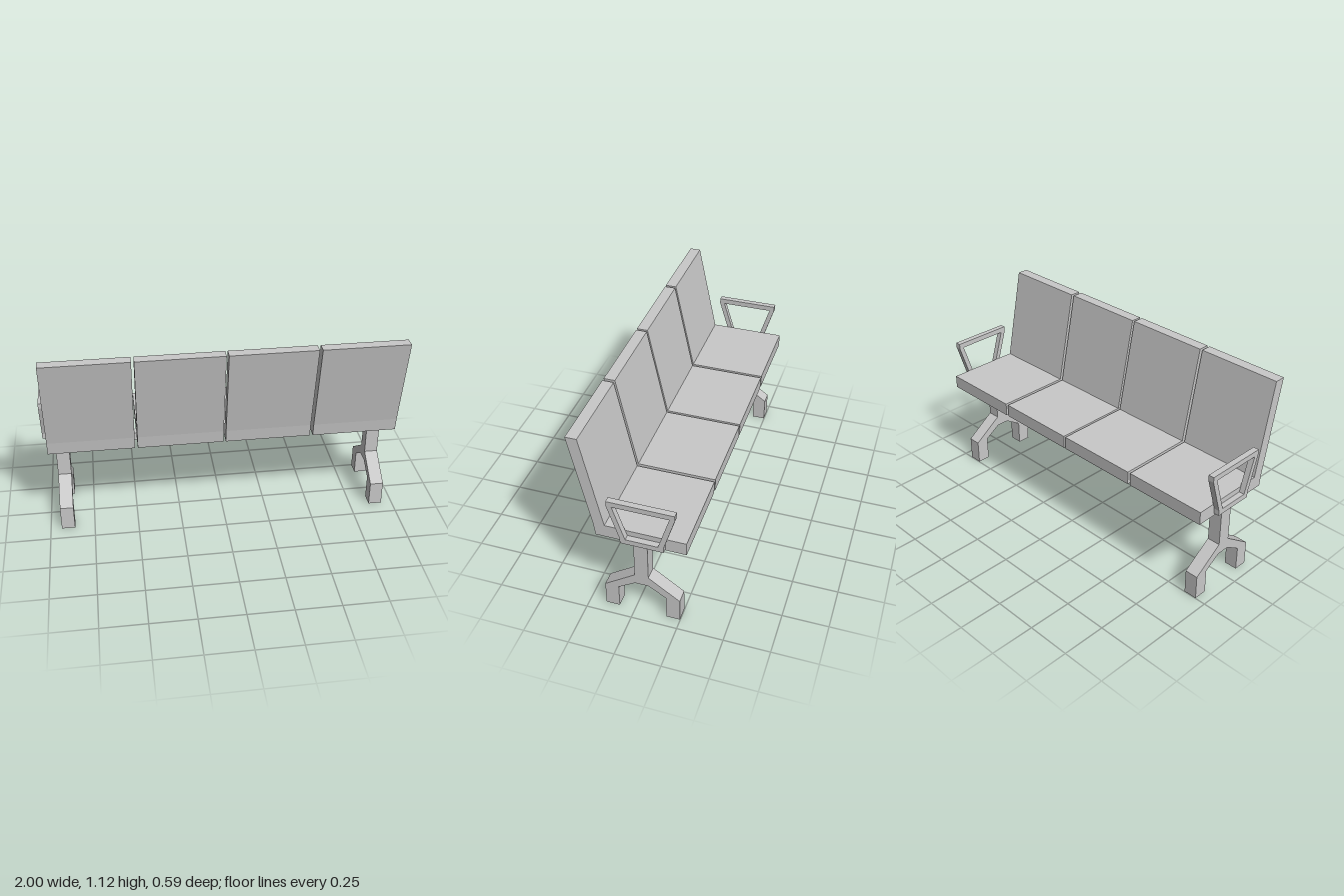
import * as THREE from 'three';

export function createModel() {
  const model = new THREE.Group();
  model.name = 'bench';
  const grey = new THREE.MeshStandardMaterial({ color: 0xc8c8c8, side: THREE.DoubleSide });
  grey.name = 'light grey';

  const add = (name, geometry) => {
    const mesh = new THREE.Mesh(geometry, grey);
    mesh.name = name;
    model.add(mesh);
  };
  const points = (list) => list.map(([z, y]) => new THREE.Vector2(z, y));

  // Side profile in (z, y), extruded from x0 to x1
  const extrudeX = (profile, x0, x1, hole) => {
    const shape = new THREE.Shape(points(profile));
    if (hole) shape.holes.push(new THREE.Path(points(hole)));
    return new THREE.ExtrudeGeometry(shape, { depth: x1 - x0, bevelEnabled: false })
      .rotateY(-Math.PI / 2)
      .translate(x1, 0, 0);
  };

  // Remove the faces lying on the ground, leaving hollow feet
  const openBottom = (geometry) => {
    const p = geometry.attributes.position;
    const kept = [];
    for (let i = 0; i < p.count; i += 3) {
      if (Math.max(p.getY(i), p.getY(i + 1), p.getY(i + 2)) > 0.001) kept.push(i, i + 1, i + 2);
    }
    geometry.setIndex(kept);
    geometry.clearGroups();
    return geometry;
  };

  // Four seats, each an L-shaped shell of cushion and reclined back
  const seat = [
    [0.18, 0.523], [0.19, 0.597], [0.297, 1.115], [0.237, 1.115],
    [0.13, 0.597], [-0.295, 0.597], [-0.295, 0.523],
  ];
  [-0.97, -0.482, 0.004, 0.494].forEach((x) => add('seat', extrudeX(seat, x, x + 0.473)));

  // Forked legs at both ends
  const leg = [
    [-0.006, 0.523], [-0.006, 0.26], [0.162, 0.14], [0.162, 0], [0.087, 0], [0.087, 0.14],
    [-0.006, 0.2], [-0.08, 0.2], [-0.173, 0.14], [-0.173, 0], [-0.248, 0], [-0.248, 0.14],
    [-0.08, 0.26], [-0.08, 0.523],
  ];
  [-0.938, 0.863].forEach((x) => add('leg', openBottom(extrudeX(leg, x, x + 0.075))));

  // Armrest loops
  const arm = [
    [0.1, 0.795], [0.1, 0.765], [0.038, 0.567], [0.038, 0.537],
    [-0.188, 0.537], [-0.188, 0.567], [-0.248, 0.765], [-0.248, 0.795],
  ];
  const opening = [[0.072, 0.765], [0.01, 0.567], [-0.159, 0.567], [-0.22, 0.765]];
  [-1, 0.968].forEach((x) => add('armrest', extrudeX(arm, x, x + 0.032, opening)));

  // Cross beam and the seat brackets above it
  add('beam', new THREE.BoxGeometry(1.73, 0.044, 0.048).translate(0, 0.467, -0.05));
  [-0.664, -0.237, 0.249, 0.661].forEach((x) =>
    add('bracket', new THREE.BoxGeometry(0.06, 0.036, 0.048).translate(x, 0.506, -0.05)));

  return model;
}
